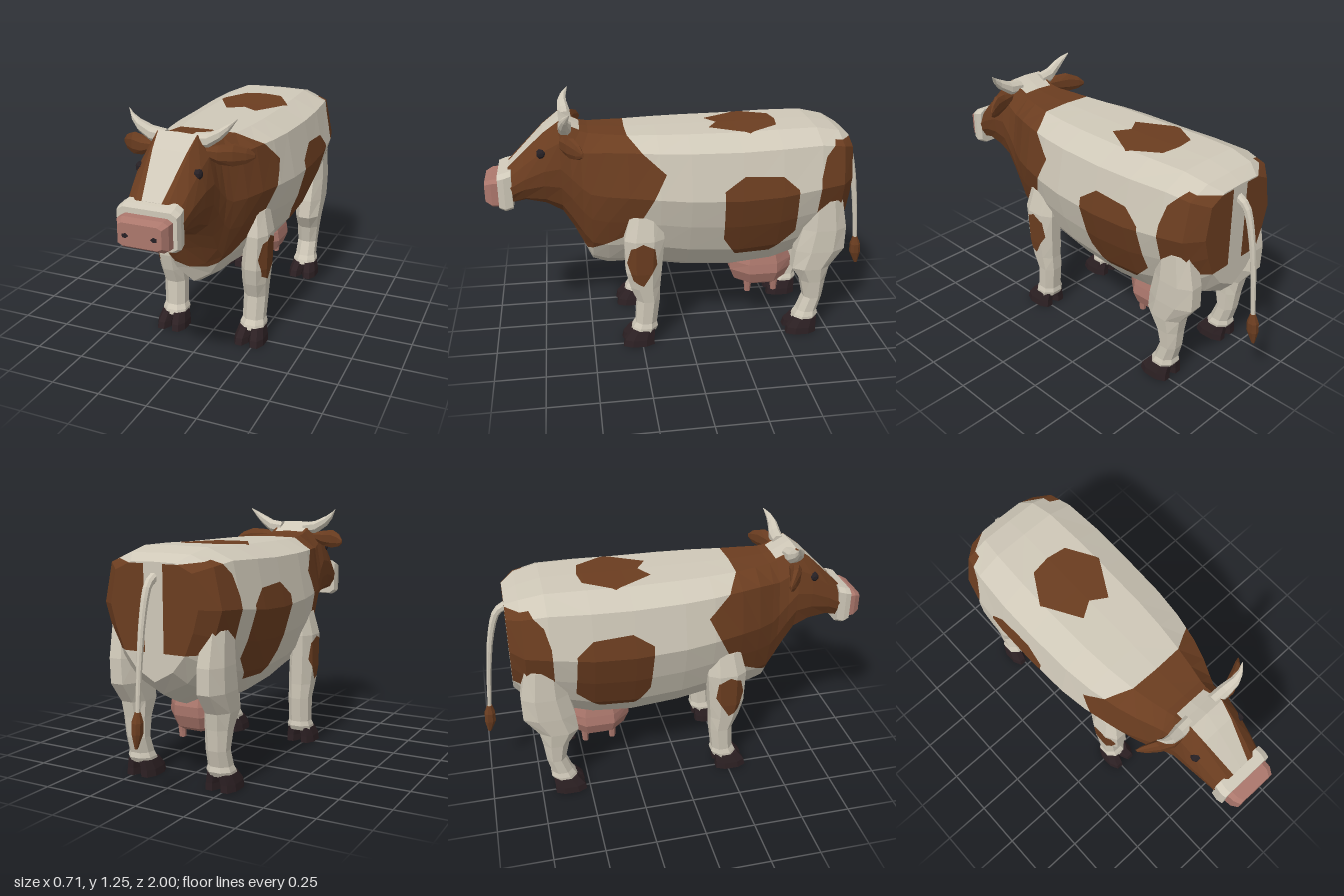
import * as THREE from 'three';

const V = (x, y, z) => new THREE.Vector3(x, y, z);
const material = (name, color) => Object.assign(new THREE.MeshStandardMaterial({ color }), { name });

// Eight-sided section with half extents u and v; k sets the bevel
const oct = (c, u, v, k = 0.45) =>
  [[1, -k], [1, k], [k, 1], [-k, 1], [-1, k], [-1, -k], [-k, -1], [k, -1]]
    .map(([a, b]) => c.clone().addScaledVector(u, a).addScaledVector(v, b));

// Joins rings into capped triangles that face outward
function loft(rings, closed = true) {
  const tris = [], n = rings[0].length;
  for (let r = 0; r < rings.length - 1; r++) {
    const a = rings[r], b = rings[r + 1];
    for (let i = 0; i < (closed ? n : n - 1); i++) {
      const j = (i + 1) % n;
      tris.push([a[i], a[j], b[j]], [a[i], b[j], b[i]]);
    }
  }
  const first = rings[0], last = rings[rings.length - 1];
  for (let i = 1; i < n - 1; i++) {
    tris.push([first[0], first[i + 1], first[i]], [last[0], last[i], last[i + 1]]);
  }
  const volume = tris.reduce((s, [a, b, c]) => s + a.dot(b.clone().cross(c)), 0);
  return volume < 0 ? tris.map(([a, b, c]) => [a, c, b]) : tris;
}

// Convex prism for a colour patch, as functions that are positive inside
function prism(points, h, v) {
  const mh = points.reduce((s, p) => s + p[0], 0) / points.length;
  const mv = points.reduce((s, p) => s + p[1], 0) / points.length;
  return points.map(([a, b], i) => {
    const [c, d] = points[(i + 1) % points.length];
    const side = (x, y) => (c - a) * (y - b) - (d - b) * (x - a);
    const sign = Math.sign(side(mh, mv));
    return p => sign * side(p[h], p[v]);
  });
}

// Cuts a polygon by a plane into its inner and outer pieces
function split(poly, f) {
  const inside = [], outside = [];
  poly.forEach((p, i) => {
    const q = poly[(i + 1) % poly.length], a = f(p), b = f(q);
    if (a >= 0) inside.push(p);
    if (a <= 0) outside.push(p);
    if (a * b < 0) {
      const m = p.clone().lerp(q, a / (a - b));
      inside.push(m);
      outside.push(m);
    }
  });
  return [inside, outside];
}

// Flat-shaded geometry with one group per colour; sides 1 and -1 mirror in x
function geometry(tris, patches = [], sides = [1]) {
  const buckets = [[], []];
  const emit = (poly, slot) => {
    for (let i = 1; i < poly.length - 1; i++) {
      const [a, b, c] = [poly[0], poly[i], poly[i + 1]];
      if (b.clone().sub(a).cross(c.clone().sub(a)).length() < 1e-9) continue;
      for (const s of sides) {
        for (const p of s > 0 ? [a, b, c] : [a, c, b]) buckets[slot].push(p.x * s, p.y, p.z);
      }
    }
  };
  const paint = (poly, k) => {
    if (poly.length < 3) return;
    if (k === patches.length) return emit(poly, 0);
    let rest = poly;
    for (const f of patches[k].planes) {
      const [inside, outside] = split(rest, f);
      paint(outside, k + 1);
      rest = inside;
      if (rest.length < 3) return;
    }
    emit(rest, patches[k].slot);
  };
  tris.forEach(t => paint(t, 0));
  const g = new THREE.BufferGeometry();
  g.setAttribute('position', new THREE.Float32BufferAttribute(buckets.flat(), 3));
  g.addGroup(0, buckets[0].length / 3, 0);
  if (buckets[1].length) g.addGroup(buckets[0].length / 3, buckets[1].length / 3, 1);
  g.computeVertexNormals();
  return g;
}

export function createModel() {
  const cream = material('cream', 0xcfc8b8), brown = material('brown', 0x6b3d20);
  const pink = material('pink', 0xab776c), hoof = material('hoof', 0x2c2023), dark = material('dark', 0x262024);
  const cow = new THREE.Group();
  cow.name = 'cow';
  const add = (name, tris, mats, patches, sides) => {
    const mesh = new THREE.Mesh(geometry(tris, patches, sides), mats);
    mesh.name = name;
    cow.add(mesh);
  };
  const pair = (name, tris, mats, patches) => {
    add('left' + name, tris, mats, patches, [1]);
    add('right' + name, tris, mats, patches, [-1]);
  };

  // Body, neck and head: half sections blended from trunk to head, then mirrored
  const trunk = [[0, 1], [0.5, 0.995], [0.87, 0.92], [1, 0.63], [0.88, 0.44], [0.7, 0.25], [0.42, 0.1], [0, 0]];
  const head = [[0, 1], [0.55, 0.99], [0.86, 0.8], [1, 0.55], [0.97, 0.35], [0.8, 0.14], [0.45, 0.03], [0, 0]];
  const sections = [ // z, bottom, top, half width, head blend
    [-0.835, 0.52, 1.055, 0.23, 0], [-0.77, 0.45, 1.09, 0.31, 0], [-0.65, 0.39, 1.115, 0.34, 0],
    [-0.45, 0.32, 1.115, 0.355, 0], [-0.25, 0.3, 1.11, 0.355, 0], [0, 0.32, 1.11, 0.345, 0],
    [0.15, 0.345, 1.11, 0.325, 0], [0.3, 0.36, 1.11, 0.288, 0], [0.4, 0.36, 1.115, 0.25, 0.1],
    [0.48, 0.39, 1.12, 0.21, 0.3], [0.52, 0.48, 1.13, 0.192, 0.6], [0.57, 0.6, 1.155, 0.182, 0.9],
    [0.62, 0.69, 1.182, 0.178, 1], [0.7, 0.74, 1.12, 0.172, 1], [0.8, 0.765, 1.02, 0.157, 1], [0.88, 0.75, 0.94, 0.142, 1],
  ];
  const rings = sections.map(([z, y0, y1, w, t]) => trunk.map(([x, y], i) => V(
    w * THREE.MathUtils.lerp(x, head[i][0], t),
    y0 + (y1 - y0) * THREE.MathUtils.lerp(y, head[i][1], t), z)));
  const blaze = [p => p.z - 0.52, p => p.y - 0.88, p => 0.05 + (p.y - 0.95) * 0.2 - p.x];
  const front = [[0.12, 0.95], [0.53, 1.317], [1, 1.317], [1, 0.45], [0.53, 0.48], [0.28, 0.625]];
  const flank = [[-0.16, 0.86], [-0.26, 0.93], [-0.45, 0.92], [-0.53, 0.85], [-0.54, 0.6],
    [-0.42, 0.475], [-0.24, 0.47], [-0.17, 0.58]];
  const rump = [[-0.64, 0.66], [-0.645, 0.9], [-0.67, 1], [-0.73, 1.065], [-0.9, 1.035], [-0.9, 0.65]];
  const saddle = [[0, -0.475], [0.1, -0.46], [0.19, -0.31], [0.08, -0.12], [0, -0.17]];
  add('body', loft(rings, false), [cream, brown], [
    { planes: blaze, slot: 0 },
    { planes: prism(front, 'z', 'y'), slot: 1 },
    { planes: prism(flank, 'z', 'y'), slot: 1 },
    { planes: [...prism(rump, 'z', 'y'), p => p.x - 0.05], slot: 1 },
    { planes: [...prism(saddle, 'x', 'z'), p => p.y - 0.9], slot: 1 },
  ], [1, -1]);

  // Muzzle band, nose and nostrils: z, centre y, half width, half height
  const blockZ = list => loft(list.map(([z, y, w, h]) => oct(V(0, y, z), V(w, 0, 0), V(0, h, 0), 0.8)));
  add('muzzle', blockZ([[0.862, 0.843, 0.143, 0.1], [0.9, 0.833, 0.148, 0.1], [0.93, 0.835, 0.143, 0.088]]), cream);
  add('nose', blockZ([[0.92, 0.825, 0.125, 0.073], [0.965, 0.825, 0.122, 0.07], [0.997, 0.827, 0.104, 0.052]]), pink);
  pair('Nostril', loft([0.99, 1].map(z => [[0.052, 0.822], [0.066, 0.834], [0.083, 0.828], [0.08, 0.814], [0.064, 0.812]]
    .map(([x, y]) => V(x, y, z)))), dark);

  // Eyes
  pair('Eye', loft([[0.13, 0.022], [0.152, 0.02], [0.16, 0.009]]
    .map(([x, r]) => oct(V(x, 1.03, 0.71), V(0, r, 0), V(0, 0, r)))), dark);

  // Ears and horns: x, y, z, half height, half depth
  const across = list => loft(list.map(([x, y, z, h, d]) => oct(V(x, y, z), V(0, h, 0), V(0, 0, d))));
  pair('Ear', across([[0.12, 1.1, 0.6, 0.018, 0.02], [0.19, 1.09, 0.59, 0.042, 0.03], [0.25, 1.088, 0.565, 0.049, 0.026],
    [0.3, 1.082, 0.535, 0.034, 0.017], [0.328, 1.077, 0.515, 0.01, 0.005]]), brown);
  pair('Horn', across([[0.07, 1.145, 0.588, 0.03, 0.03], [0.14, 1.152, 0.592, 0.034, 0.031], [0.2, 1.187, 0.598, 0.027, 0.023],
    [0.235, 1.217, 0.59, 0.017, 0.014], [0.265, 1.252, 0.568, 0.002, 0.002]]), cream);

  // Legs: y, x, half width, z, half depth
  const upright = list => loft(list.map(([y, x, w, z, d]) => oct(V(x, y, z), V(w, 0, 0), V(0, 0, d))));
  const shin = [[0.24, 0.35], [0.17, 0.47], [0.18, 0.56], [0.24, 0.59], [0.3, 0.56], [0.32, 0.48], [0.29, 0.38]];
  pair('FrontLeg', upright([[0.72, 0.235, 0.045, 0.22, 0.08], [0.6, 0.247, 0.06, 0.23, 0.1], [0.42, 0.235, 0.068, 0.235, 0.09],
    [0.33, 0.23, 0.063, 0.228, 0.075], [0.25, 0.226, 0.058, 0.213, 0.058], [0.12, 0.222, 0.056, 0.225, 0.054],
    [0.095, 0.221, 0.064, 0.23, 0.064], [0.07, 0.221, 0.064, 0.24, 0.062]]), [cream, brown],
  [{ planes: [...prism(shin, 'z', 'y'), p => p.x - 0.24], slot: 1 }]);
  pair('HindLeg', upright([[0.76, 0.24, 0.06, -0.69, 0.09], [0.6, 0.235, 0.07, -0.695, 0.115], [0.48, 0.232, 0.072, -0.68, 0.128],
    [0.38, 0.23, 0.068, -0.638, 0.098], [0.3, 0.226, 0.06, -0.657, 0.065], [0.2, 0.222, 0.054, -0.663, 0.048],
    [0.12, 0.221, 0.056, -0.637, 0.052], [0.095, 0.221, 0.064, -0.632, 0.062], [0.07, 0.221, 0.064, -0.62, 0.06]]), cream);

  // Cloven hooves, two toes each
  for (const [name, z] of [['FrontHoof', 0.268], ['HindHoof', -0.6]]) {
    for (const [toe, o] of [['InnerToe', -1], ['OuterToe', 1]]) {
      pair(name + toe, upright([[0, 0.221 + o * 0.041, 0.039, z, 0.08], [0.035, 0.221 + o * 0.039, 0.038, z - 0.004, 0.076],
        [0.082, 0.221 + o * 0.031, 0.034, z - 0.024, 0.06]]), hoof);
    }
  }

  // Udder and teats
  add('udder', upright([[0.4, 0, 0.13, -0.415, 0.15], [0.35, 0, 0.142, -0.415, 0.168], [0.3, 0, 0.15, -0.415, 0.165],
    [0.24, 0, 0.128, -0.415, 0.14], [0.22, 0, 0.1, -0.415, 0.11]]), pink);
  for (const [name, z] of [['FrontTeat', -0.345], ['RearTeat', -0.49]]) {
    pair(name, upright([[0.27, 0.08, 0.024, z, 0.024], [0.2, 0.081, 0.017, z, 0.017], [0.17, 0.08, 0.015, z, 0.015]]), pink);
  }

  // Tail and tuft
  const path = new THREE.CatmullRomCurve3([V(0, 0.99, -0.82), V(0, 0.96, -0.87), V(0, 0.85, -0.91), V(0, 0.65, -0.943), V(0, 0.39, -0.968)]);
  add('tail', loft(path.getPoints(10).map((p, i) => {
    const t = path.getTangent(i / 10), r = 0.021 - 0.0011 * i;
    return oct(p, V(r, 0, 0), V(0, -t.z * r, t.y * r));
  })), cream);
  add('tailTuft', upright([[0.415, 0, 0.012, -0.966, 0.012], [0.37, 0, 0.024, -0.97, 0.027],
    [0.32, 0, 0.022, -0.972, 0.028], [0.255, 0, 0.006, -0.982, 0.008]]), brown);
  return cow;
}
